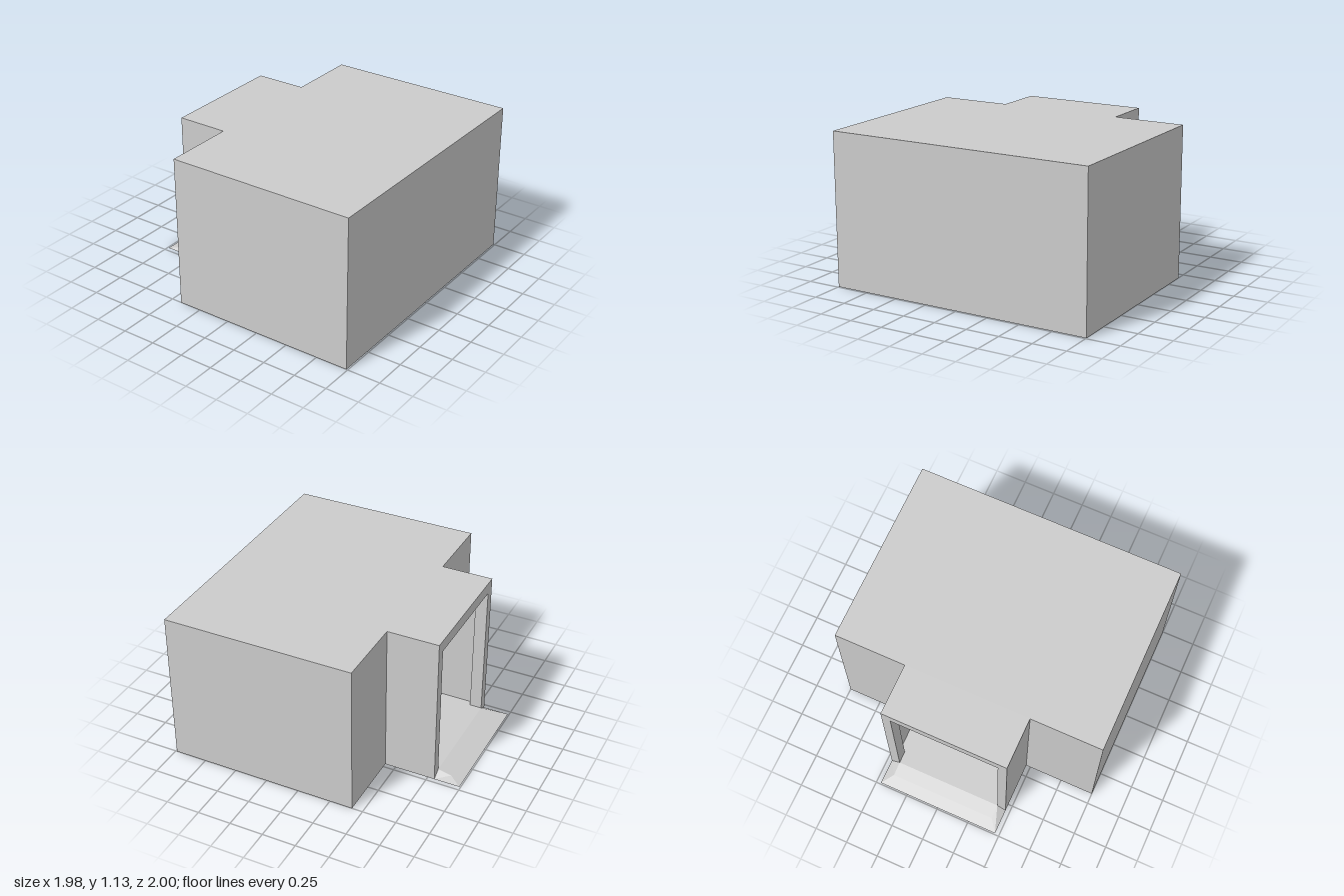
import * as THREE from 'three';

const material = new THREE.MeshStandardMaterial({ color: 0xcccccc, flatShading: true });

// Main plan dimensions
const backX = 0.99, roomX = -0.42, porchX = -0.8, rampX = -0.99;
const roomZ = 1, porchZ = 0.467, doorZ = 0.4, porchInnerZ = 0.44;
const floorY = 0.04, lintelY = 1.05, porchCeilingY = 1.1, roofY = 1.135;

// Completes half a plan outline by mirroring it across z = 0
function mirrored(half) {
  const other = half.map(([x, z]) => [x, -z]).reverse();
  return [...half, ...other].map(([x, z]) => new THREE.Vector2(x, z));
}

// Extrudes a plan outline between two heights
function layer(name, outline, y0, y1, hole) {
  const shape = new THREE.Shape(outline);
  if (hole) shape.holes.push(new THREE.Path(hole));
  const geometry = new THREE.ExtrudeGeometry(shape, { depth: y1 - y0, bevelEnabled: false });
  geometry.rotateX(-Math.PI / 2).translate(0, y0, 0);
  const mesh = new THREE.Mesh(geometry, material);
  mesh.name = name;
  return mesh;
}

// Entry ramp with sloping sides
function createRamp() {
  const side = (s) => ({
    toe: [rampX, 0, s * porchZ],
    knee: [-0.9, 0.02, s * doorZ],
    top: [porchX, floorY, s * doorZ],
    foot: [porchX, 0, s * porchZ],
  });
  const a = side(-1), b = side(1);
  const quads = [
    [a.toe, b.toe, b.knee, a.knee],   // lower slope
    [a.knee, b.knee, b.top, a.top],   // upper slope
    [b.toe, b.foot, b.top, b.knee],   // side slopes
    [a.foot, a.toe, a.knee, a.top],
    [a.toe, a.foot, b.foot, b.toe],   // underside
    [a.foot, a.top, b.top, b.foot],   // end against the floor
  ];
  const points = quads.flatMap(([p, q, r, s]) => [p, q, r, p, r, s]).flat();
  const geometry = new THREE.BufferGeometry();
  geometry.setAttribute('position', new THREE.Float32BufferAttribute(points, 3));
  geometry.computeVertexNormals();
  const mesh = new THREE.Mesh(geometry, material);
  mesh.name = 'ramp';
  return mesh;
}

export function createModel() {
  const group = new THREE.Group();
  group.name = 'building';

  const outside = [[porchX, porchZ], [roomX, porchZ], [roomX, roomZ], [backX, roomZ]];
  const footprint = mirrored(outside);

  // Walls run round the outside, then back along the inside past both doorways
  const inside = [
    [0.89, 0.9], [-0.33, 0.9], [-0.33, doorZ], [roomX, doorZ],
    [roomX, porchInnerZ], [-0.71, porchInnerZ], [-0.71, doorZ], [porchX, doorZ],
  ];
  const flip = ([x, z]) => [x, -z];
  const walls = [
    ...inside, ...outside,
    ...[...outside].reverse().map(flip), ...[...inside].reverse().map(flip),
  ].map(([x, z]) => new THREE.Vector2(x, z));

  const porchHole = mirrored([[-0.71, porchInnerZ], [roomX, porchInnerZ]]);

  group.add(
    layer('floor', footprint, 0, floorY),
    layer('walls', walls, floorY, lintelY),
    layer('lintelAndCeiling', footprint, lintelY, porchCeilingY, porchHole),
    layer('roof', footprint, porchCeilingY, roofY),
    createRamp(),
  );
  return group;
}
